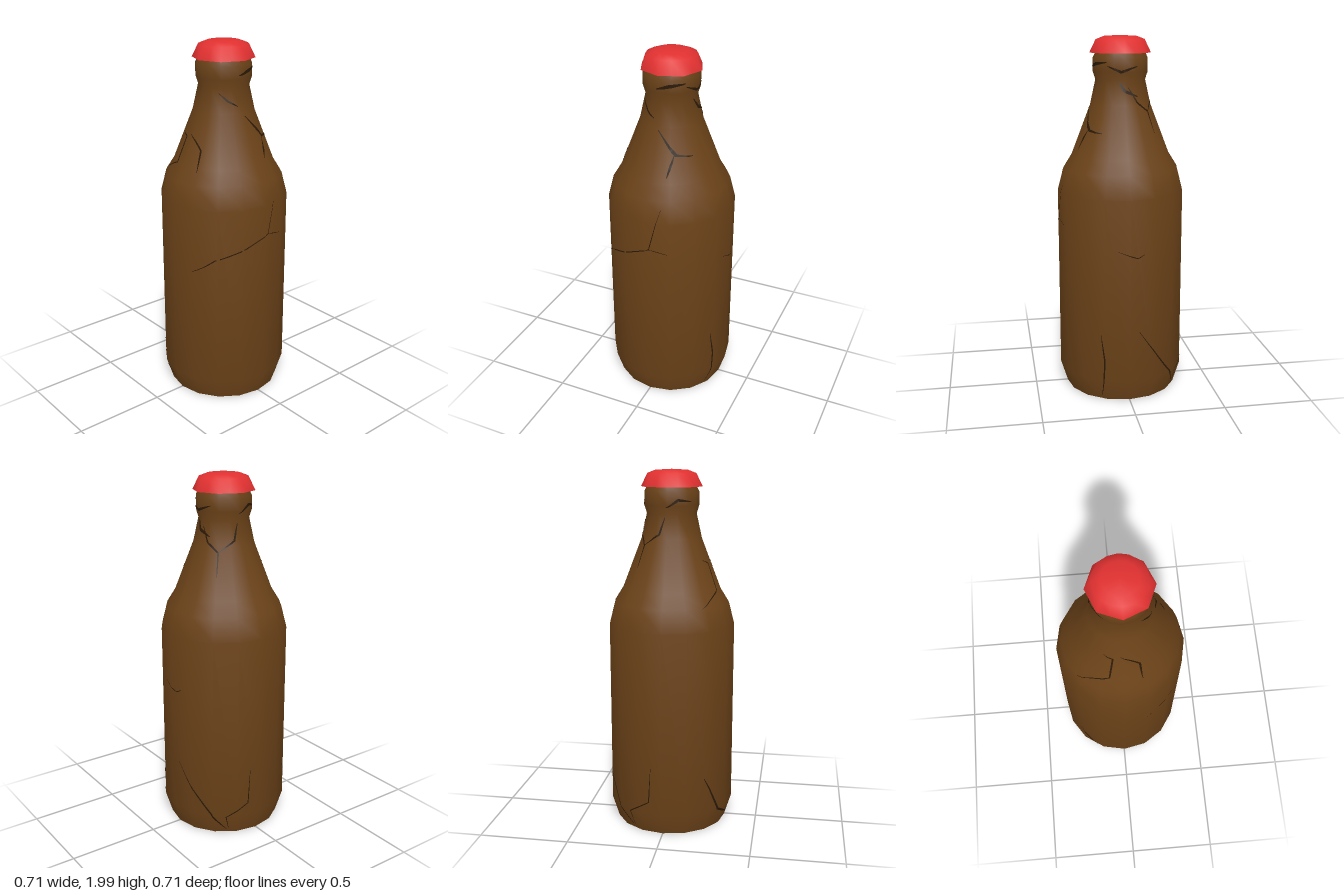
import * as THREE from 'three';
import { toCreasedNormals } from 'three/addons/utils/BufferGeometryUtils.js';

const SIDES = 16;
// Bottle outline as [radius, height]
const PROFILE = [
  [0, 0.008], [0.315, 0.008], [0.353, 0.13], [0.353, 1.16], [0.322, 1.28], [0.275, 1.355],
  [0.168, 1.63], [0.138, 1.765], [0.152, 1.81], [0.152, 1.88], [0.135, 1.915], [0, 1.92],
];

function lathe(profile) {
  return new THREE.LatheGeometry(profile.map(([r, y]) => new THREE.Vector2(r, y)), SIDES);
}

function radiusAt(y) {
  for (let i = 2; i < PROFILE.length - 1; i++) {
    const [r0, y0] = PROFILE[i - 1], [r1, y1] = PROFILE[i];
    if (y <= y1) return r0 + (r1 - r0) * Math.max(0, (y - y0) / (y1 - y0));
  }
  return 0.135;
}

// Point just above the faceted glass at an angle and height
function onGlass(phi, y) {
  const step = (2 * Math.PI) / SIDES;
  const local = phi - Math.floor(phi / step) * step - step / 2;
  const r = radiusAt(y) * Math.cos(step / 2) / Math.cos(local) + 0.002;
  return [r * Math.sin(phi), y, r * Math.cos(phi)];
}

// Tapered sliver following the glass; points are [sideways, height] as seen facing angle `face`
function crackGeometry(face, points, width) {
  const STEPS = 10, pos = [], index = [], path = [];
  for (let i = 0; i < points.length - 1; i++) {
    const [a, b] = [points[i], points[i + 1]];
    for (let s = i ? 1 : 0; s <= STEPS; s++) {
      const t = s / STEPS;
      path.push([a[0] + (b[0] - a[0]) * t, a[1] + (b[1] - a[1]) * t]);
    }
  }
  path.forEach(([h, y], i) => {
    const p = path[Math.max(0, i - 1)], n = path[Math.min(path.length - 1, i + 1)];
    const dx = n[0] - p[0], dy = n[1] - p[1], len = Math.hypot(dx, dy) || 1;
    const w = 0.5 * width * (0.25 + 0.75 * Math.sin(Math.PI * i / (path.length - 1)));
    for (const s of [-1, 1]) {
      const hy = y + s * w * dx / len, hx = h - s * w * dy / len;
      const phi = face + Math.asin(THREE.MathUtils.clamp(hx / radiusAt(hy), -1, 1));
      pos.push(...onGlass(phi, hy));
    }
    if (i) index.push(2 * i - 2, 2 * i, 2 * i - 1, 2 * i - 1, 2 * i, 2 * i + 1);
  });
  const g = new THREE.BufferGeometry();
  g.setAttribute('position', new THREE.Float32BufferAttribute(pos, 3));
  g.setIndex(index);
  g.computeVertexNormals();
  return g;
}

export function createModel() {
  const model = new THREE.Group();
  model.name = 'bottle';
  const glass = new THREE.MeshStandardMaterial({ color: 0x6b4218 });
  const red = new THREE.MeshStandardMaterial({ color: 0xe03030, side: THREE.DoubleSide });
  const dark = new THREE.MeshStandardMaterial({ color: 0x2a1907, side: THREE.DoubleSide });

  const add = (parent, name, geometry, material) => {
    const mesh = new THREE.Mesh(geometry, material);
    mesh.name = name;
    parent.add(mesh);
  };

  // Glass body, shoulder, neck and collar
  add(model, 'glassBody', toCreasedNormals(lathe(PROFILE), 1.0), glass);

  // Cap: round domed top flaring to an eight-sided skirt with a hollow underside
  const cap = lathe([[0.135, 1.945], [0.17, 1.907], [0.135, 1.978], [0.09, 1.995], [0, 2]]);
  const p = cap.attributes.position;
  for (let i = 0; i < p.count; i++) {
    const ring = i % 5, column = Math.floor(i / 5);
    if (ring === 1 && column % 2) {
      const k = Math.cos(Math.PI / 8);
      p.setXYZ(i, p.getX(i) * k, p.getY(i), p.getZ(i) * k);
    }
  }
  add(model, 'cap', toCreasedNormals(cap, 1.0), red);

  // Cracks, grouped by the side they face
  const cracks = new THREE.Group();
  cracks.name = 'cracks';
  model.add(cracks);
  const Q = Math.PI / 4;
  const list = [
    // front
    [0, [[-0.33, 0.8], [-0.26, 0.88], [0.02, 1.0], [0.08, 1.24]], 0.006],
    [0, [[0.02, 1.0], [0.12, 0.98]], 0.004],
    [0, [[0, 1.62], [0.08, 1.53], [0.11, 1.5], [0.18, 1.49]], 0.014],
    [0, [[0.1, 1.5], [0.08, 1.39]], 0.012],
    [0, [[-0.11, 1.74], [-0.08, 1.7], [-0.03, 1.67]], 0.01],
    [0, [[-0.02, 1.83], [0.05, 1.85], [0.12, 1.86]], 0.018],
    // left side
    [2 * Q, [[-0.07, 0.88], [0.04, 0.84], [0.08, 0.86]], 0.005],
    [2 * Q, [[-0.16, 0.4], [-0.14, 0.25], [-0.15, 0.03]], 0.008],
    [2 * Q, [[0.05, 0.42], [0.24, 0.14], [0.27, 0.03]], 0.008],
    [2 * Q, [[-0.03, 1.76], [0, 1.71], [0.07, 1.68]], 0.016],
    [2 * Q, [[-0.09, 1.84], [-0.02, 1.81], [0.07, 1.84]], 0.014],
    // back left
    [3 * Q, [[-0.09, 1.73], [-0.06, 1.65], [0, 1.6], [0, 1.48]], 0.01],
    [3 * Q, [[0.09, 1.75], [0.08, 1.66], [0, 1.6]], 0.01],
    [3 * Q, [[0.2, 0.4], [0.19, 0.2], [0.07, 0.12], [0.08, 0.03]], 0.006],
    // back right
    [5 * Q, [[0.06, 1.52], [0.11, 1.5], [0.13, 1.36], [-0.03, 1.28]], 0.008],
    [5 * Q, [[-0.03, 0.33], [0.08, 0.12], [0.2, 0.05]], 0.014],
    [5 * Q, [[-0.11, 1.8], [-0.06, 1.84], [0.02, 1.83]], 0.014],
    // front right
    [7 * Q, [[-0.16, 1.52], [-0.1, 1.45], [-0.12, 1.34]], 0.01],
  ];
  list.forEach(([face, points, width], i) =>
    add(cracks, `crack${i + 1}`, crackGeometry(face, points, width), dark));

  return model;
}
